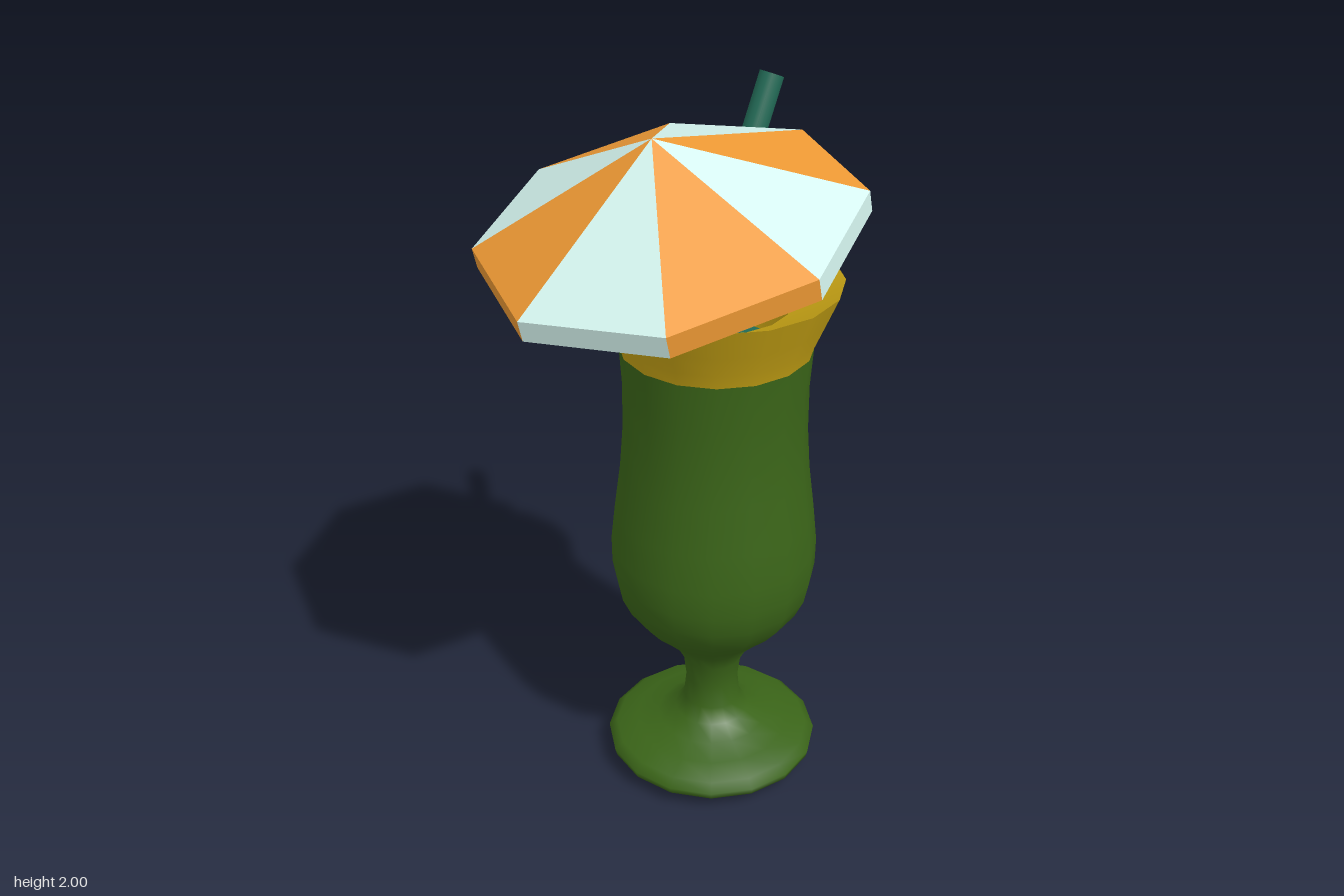
import * as THREE from 'three';

const mat = (color, flatShading = false) =>
  new THREE.MeshStandardMaterial({ color, flatShading, side: THREE.DoubleSide });

const GREEN = 0x3a6418, YELLOW = 0xc8a415, TEAL = 0x226a56;
const ORANGE = 0xee9a35, PALE = 0xd5f5ef, STICK = 0xb5adb3;

function addMesh(parent, name, geometry, material) {
  const mesh = new THREE.Mesh(geometry, material);
  mesh.name = name;
  parent.add(mesh);
  return mesh;
}

// 16-sided turned surface from [radius, height] pairs
const lathe = (pts) =>
  new THREE.LatheGeometry(pts.map(([r, y]) => new THREE.Vector2(r, y)), 16);

function createGlass() {
  const glass = new THREE.Group();
  glass.name = 'glass';

  addMesh(glass, 'baseUnderside', lathe([[0, 0.003], [0.2, 0.007]]), mat(GREEN));
  // foot, stem and bowl
  addMesh(glass, 'body', lathe([
    [0.2, 0.007], [0.275, 0.027], [0.305, 0.048], [0.31, 0.068], [0.285, 0.09],
    [0.225, 0.11], [0.16, 0.13], [0.11, 0.16], [0.083, 0.2], [0.076, 0.27],
    [0.085, 0.345], [0.113, 0.4], [0.16, 0.45], [0.21, 0.5], [0.25, 0.55],
    [0.275, 0.605], [0.288, 0.67], [0.289, 0.75], [0.277, 0.86], [0.26, 0.99],
    [0.251, 1.11], [0.25, 1.24], [0.258, 1.36],
  ]), mat(GREEN));
  // flared band, sloping lip and inner wall
  addMesh(glass, 'rimBand', lathe([[0.258, 1.36], [0.27, 1.4], [0.295, 1.46], [0.33, 1.545]]), mat(YELLOW));
  addMesh(glass, 'innerLip', lathe([[0.33, 1.545], [0.26, 1.51], [0.195, 1.48]]), mat(YELLOW));
  addMesh(glass, 'innerWall', lathe([[0.195, 1.48], [0.19, 1.33]]), mat(YELLOW));
  addMesh(glass, 'drink', lathe([[0.19, 1.335], [0, 1.335]]), mat(TEAL));

  glass.position.set(0.163, 0, -0.038);
  return glass;
}

function createStraw() {
  // hollow tube: outer wall, end rings and inner wall in one closed profile
  const length = 0.77, outer = 0.033, inner = 0.026;
  const straw = new THREE.Group();
  straw.name = 'straw';
  const material = mat(TEAL);
  addMesh(straw, 'strawOuter', lathe([[outer, -length], [outer, 0]]), material);
  addMesh(straw, 'strawEnd', lathe([[outer, 0], [inner, 0]]), material);
  addMesh(straw, 'strawInner', lathe([[inner, 0], [inner, -length]]), material);
  straw.position.set(0.473, 1.985, -0.155);
  straw.rotation.z = -Math.atan2(0.2, 0.445);
  return straw;
}

function createUmbrella() {
  // built with its tip at the origin, then tilted
  const umbrella = new THREE.Group();
  umbrella.name = 'umbrella';
  const R = 0.484, drop = 0.22, skirt = 0.055, sides = 8;
  const corner = (i, y) => {
    const a = (i / sides) * Math.PI * 2;
    return [Math.cos(a) * R, y, Math.sin(a) * R];
  };

  // alternating panels, each a triangle with a hanging skirt
  const materials = [mat(ORANGE, true), mat(PALE, true)];
  for (let i = 0; i < sides; i++) {
    const a = corner(i, -drop), b = corner(i + 1, -drop);
    const c = corner(i, -drop - skirt), d = corner(i + 1, -drop - skirt);
    const geo = new THREE.BufferGeometry();
    geo.setAttribute('position', new THREE.Float32BufferAttribute(
      [[0, 0, 0], b, a, a, b, d, a, d, c].flat(), 3));
    geo.computeVertexNormals();
    addMesh(umbrella, 'umbrellaPanel', geo, materials[i % 2]);
  }

  const stickLength = 0.67;
  const stick = addMesh(umbrella, 'umbrellaStick',
    new THREE.CylinderGeometry(0.011, 0.011, stickLength, 10), mat(STICK));
  stick.position.y = -stickLength / 2 - 0.01;

  umbrella.position.set(-0.097, 1.986, 0);
  umbrella.rotation.z = 0.235;
  return umbrella;
}

export function createModel() {
  const model = new THREE.Group();
  model.name = 'cocktail';
  model.add(createGlass(), createStraw(), createUmbrella());
  return model;
}
